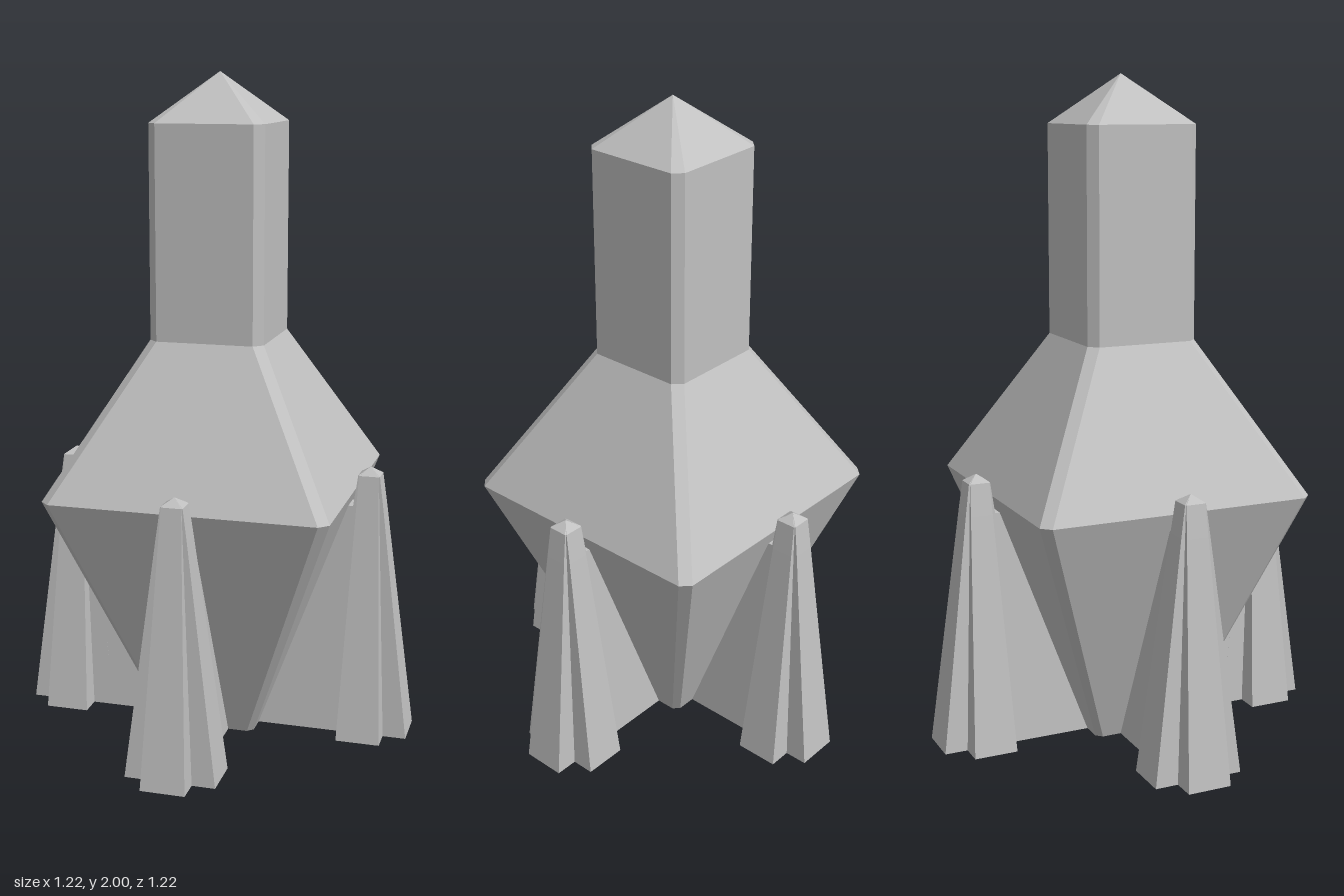
import * as THREE from 'three';

const stone = new THREE.MeshStandardMaterial({ color: 0xc0c0c0, flatShading: true });
stone.name = 'pale stone';

// Joins stacked rings of [x, z] corners; the bottom is closed, the top ends in a point.
function loft(levels, apexY) {
  const pos = [];
  const rings = levels.map(({ y, ring }) => ring.map(([x, z]) => [x, y, z]));
  const n = rings[0].length;
  const tri = (...corners) => corners.forEach((p) => pos.push(...p));
  const last = rings[rings.length - 1];
  for (let i = 0; i < n; i++) {
    const j = (i + 1) % n;
    tri([0, levels[0].y, 0], rings[0][i], rings[0][j]);
    for (let k = 0; k < rings.length - 1; k++) {
      const lo = rings[k], hi = rings[k + 1];
      tri(lo[i], hi[i], lo[j]);
      tri(lo[j], hi[i], hi[j]);
    }
    tri(last[i], [0, apexY, 0], last[j]);
  }
  const geo = new THREE.BufferGeometry();
  geo.setAttribute('position', new THREE.Float32BufferAttribute(pos, 3));
  geo.computeVertexNormals();
  return geo;
}

// Repeats one quarter of a cross-section around the axis.
function fourfold(quarter) {
  const ring = [];
  for (let q = 0, pts = quarter; q < 4; q++) {
    ring.push(...pts);
    pts = pts.map(([x, z]) => [-z, x]);
  }
  return ring;
}
const chamferedSquare = (h, c) => fourfold([[h, h - c], [h - c, h]]);
const plus = (reach, w) => fourfold([[reach, -w], [reach, w], [w, w]]);

function part(name, geo) {
  const mesh = new THREE.Mesh(geo, stone);
  mesh.name = name;
  return mesh;
}

export function createModel() {
  const model = new THREE.Group();
  model.name = 'tower';

  // Body: flared base, sloping shoulder, square shaft and pointed roof
  model.add(part('body', loft([
    { y: 0, ring: chamferedSquare(0.145, 0.018) },
    { y: 0.77, ring: chamferedSquare(0.43, 0.028) },
    { y: 1.22, ring: chamferedSquare(0.174, 0.027) },
    { y: 1.855, ring: chamferedSquare(0.174, 0.027) },
  ], 2)));

  // Cross-shaped tapering buttress with a small pointed tip
  const buttressGeo = loft([
    { y: 0, ring: plus(0.137, 0.067) },
    { y: 0.72, ring: plus(0.046, 0.034) },
    { y: 0.815, ring: plus(0.033, 0.03) },
  ], 0.838);

  // Wall joining each buttress to the body, thinner towards the top
  const finGeo = new THREE.BoxGeometry(0.42, 0.72, 0.134);
  finGeo.translate(0.26, 0.36, 0);
  const p = finGeo.attributes.position;
  for (let i = 0; i < p.count; i++) {
    if (p.getY(i) > 0.5) p.setZ(i, p.getZ(i) * 0.5);
  }
  finGeo.computeVertexNormals();

  for (let i = 0; i < 4; i++) {
    const arm = new THREE.Group();
    arm.name = 'buttressArm';
    const buttress = part('buttress', buttressGeo);
    buttress.position.x = 0.472;
    arm.add(buttress, part('buttressWall', finGeo));
    arm.rotation.y = (i * Math.PI) / 2;
    model.add(arm);
  }
  return model;
}
